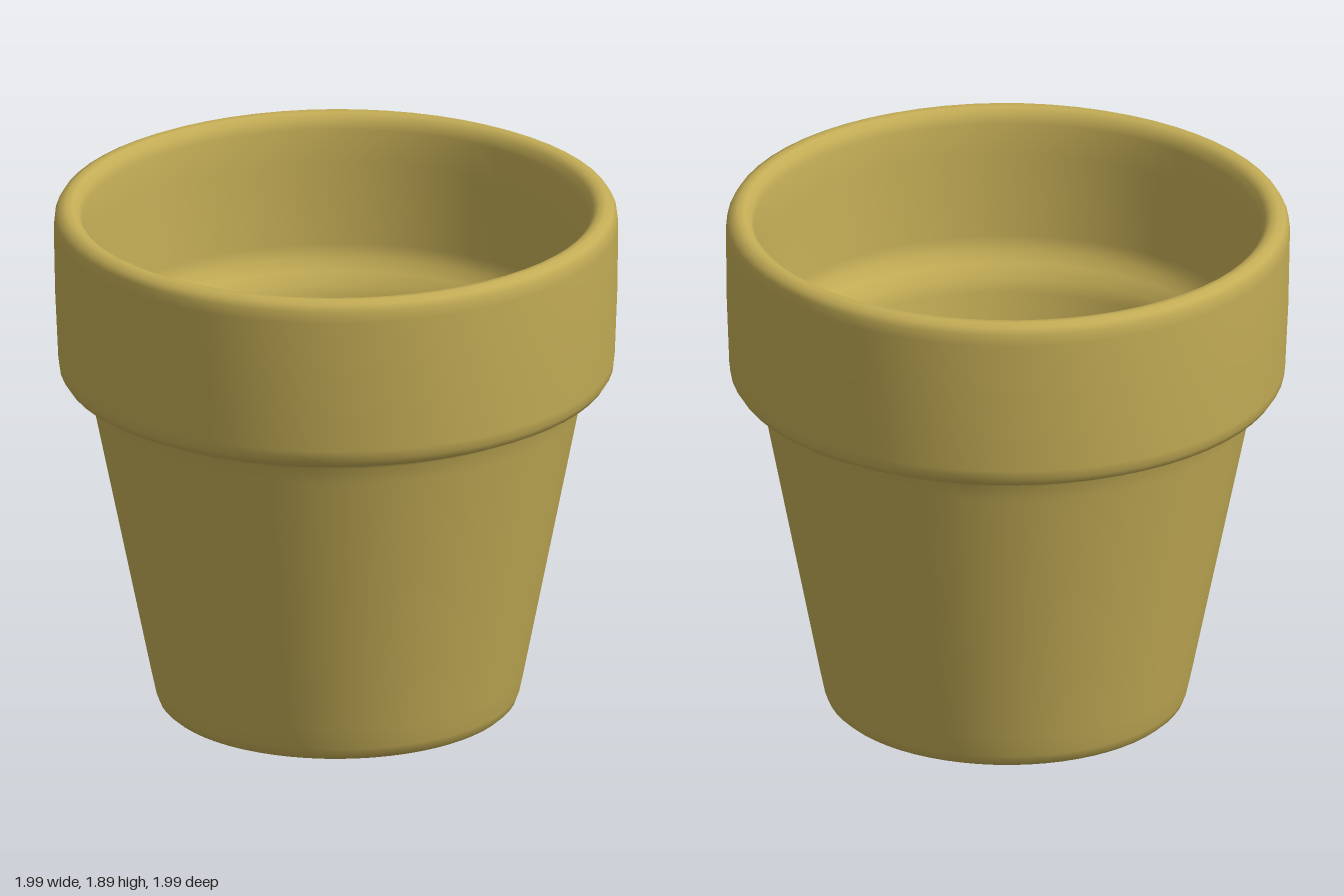
import * as THREE from 'three';

export function createModel() {
  const clay = new THREE.MeshStandardMaterial({ color: 0xc4ad56 });
  clay.name = 'clay';

  // Closed wall section: [radius, height], from the drain hole out, up, over the rim and back down
  const section = [
    [0.125, 0.05], [0.14, 0.025], [0.17, 0.016], [0.4, 0.016], [0.59, 0.012], [0.615, 0.015], [0.632, 0.03],
    [0.643, 0.06], [0.66, 0.14], [0.76, 0.64], [0.86, 1.14], [0.873, 1.205], [0.885, 1.22],
    [0.93, 1.235], [0.962, 1.25], [0.978, 1.275], [0.982, 1.31], [0.992, 1.55], [0.996, 1.8],
    [0.992, 1.84], [0.98, 1.862], [0.955, 1.874], [0.93, 1.872], [0.908, 1.855], [0.896, 1.82],
    [0.885, 1.7], [0.872, 1.4], [0.86, 1.35], [0.83, 1.31], [0.795, 1.27], [0.78, 1.22],
    [0.69, 0.74], [0.605, 0.25], [0.59, 0.2], [0.56, 0.175], [0.5, 0.165],
    [0.18, 0.16], [0.145, 0.15], [0.125, 0.125], [0.125, 0.05],
  ].map(([r, y]) => new THREE.Vector2(r, y - 0.94));
  const geometry = new THREE.LatheGeometry(section, 64);

  // Set the drain hole slightly off centre
  const pos = geometry.attributes.position;
  for (let i = 0; i < pos.count; i++) {
    if (Math.hypot(pos.getX(i), pos.getZ(i)) < 0.2) {
      pos.setXYZ(i, pos.getX(i) - 0.045, pos.getY(i), pos.getZ(i) - 0.005);
    }
  }

  const pot = new THREE.Mesh(geometry, clay);
  pot.name = 'flowerPot';
  // The pot leans very slightly
  pot.rotation.set(0.011, 0, 0.014);
  pot.position.y = 0.945;

  const group = new THREE.Group();
  group.name = 'plantPot';
  group.add(pot);
  return group;
}
